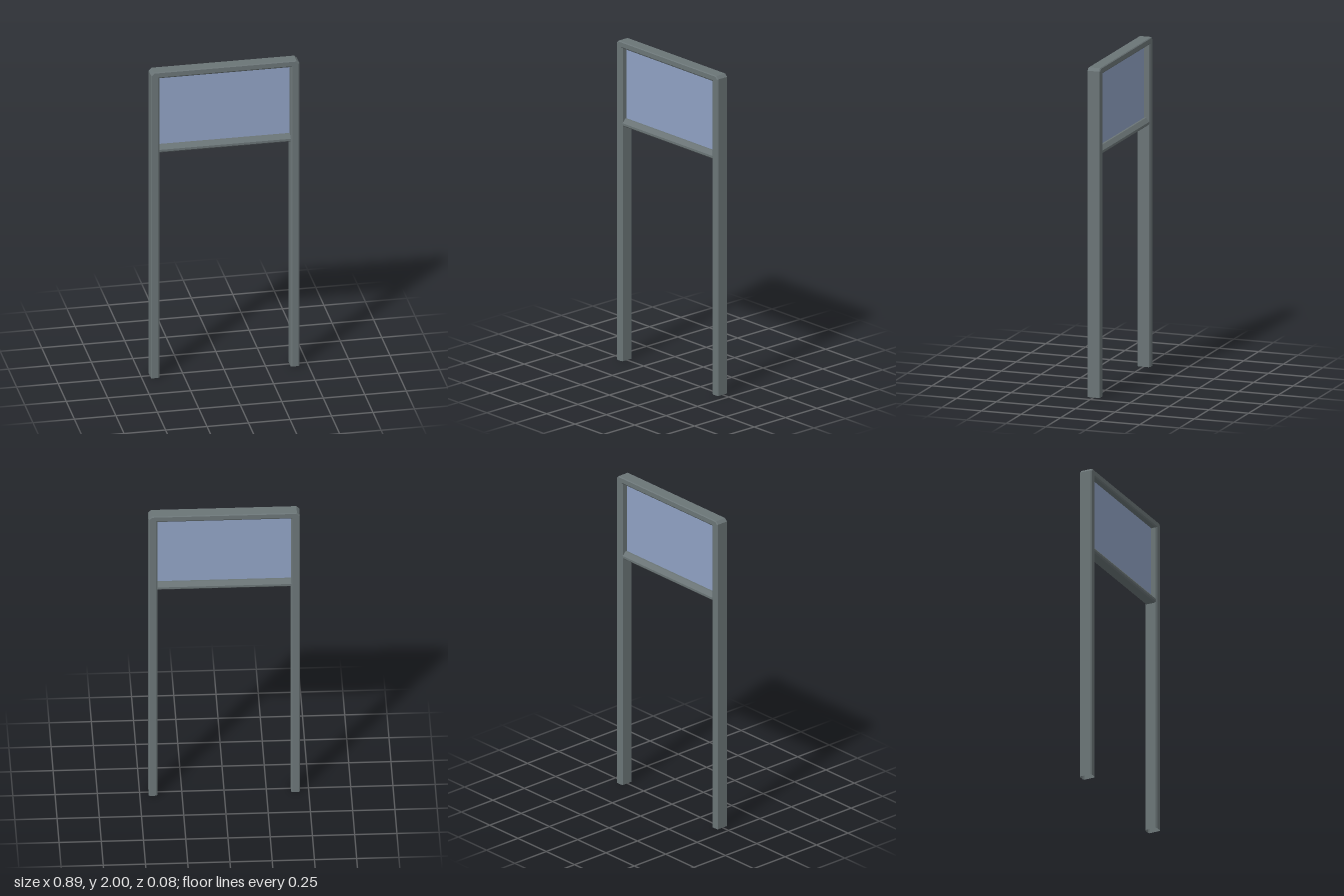
import * as THREE from 'three';

const HALF_W = 0.447, HEIGHT = 2, POST_W = 0.052, BAR_H = 0.04, CHAMFER = 0.017;

// Tube cross-section: [distance in from the outer face, z]
const SECTION = [
  [0, -0.035], [0, 0.035], [0.006, 0.04], [0.042, 0.04],
  [POST_W, 0.034], [POST_W, -0.034], [0.042, -0.04], [0.006, -0.04],
];

// Six stations up the left post, across the top and down the right post
function framePath([inset, z]) {
  const t = inset / POST_W;
  const x = HALF_W - inset, y = HEIGHT - BAR_H * t, c = CHAMFER * (1 - t);
  return [[-x, 0], [-x, y - c], [-x + c, y], [x - c, y], [x, y - c], [x, 0]]
    .map(([px, py]) => [px, py, z]);
}

// Continuous bevelled tube, mitred at the top corners and open at the feet
function frameGeometry() {
  const lines = SECTION.map(framePath);
  const pos = [];
  for (let j = 0; j < lines.length; j++) {
    const a = lines[j], b = lines[(j + 1) % lines.length];
    for (let i = 0; i < a.length - 1; i++) {
      pos.push(...a[i], ...b[i], ...a[i + 1], ...b[i], ...b[i + 1], ...a[i + 1]);
    }
  }
  const geo = new THREE.BufferGeometry();
  geo.setAttribute('position', new THREE.Float32BufferAttribute(pos, 3));
  geo.computeVertexNormals();
  return geo;
}

// Lower rail with sloped shoulders and a chamfered underside
function railGeometry() {
  const half = [[0.028, 1.47], [0.036, 1.478], [0.036, 1.491], [0.016, 1.515]];
  const mirrored = half.map(([z, y]) => [-z, y]).reverse();
  const shape = new THREE.Shape([...half, ...mirrored].map(([z, y]) => new THREE.Vector2(z, y)));
  const length = 2 * (HALF_W - POST_W) + 0.004;
  const geo = new THREE.ExtrudeGeometry(shape, { depth: length, bevelEnabled: false });
  geo.translate(0, 0, -length / 2);
  geo.rotateY(Math.PI / 2);
  return geo;
}

export function createModel() {
  const metal = new THREE.MeshStandardMaterial({ color: 0x6b7577, side: THREE.DoubleSide });
  metal.name = 'greyMetal';
  const glass = new THREE.MeshStandardMaterial({ color: 0x90a2c4 });
  glass.name = 'blueGlass';

  const model = new THREE.Group();
  model.name = 'signFrame';
  const add = (name, geo, mat) => {
    const mesh = new THREE.Mesh(geo, mat);
    mesh.name = name;
    model.add(mesh);
    return mesh;
  };

  add('frame', frameGeometry(), metal);
  add('lowerRail', railGeometry(), metal);

  // Panel between the posts, from the rail to the top bar
  const bottom = 1.51, top = HEIGHT - BAR_H;
  const panel = add('panel',
    new THREE.BoxGeometry(2 * (HALF_W - POST_W), top - bottom, 0.008), glass);
  panel.position.y = (top + bottom) / 2;

  return model;
}
